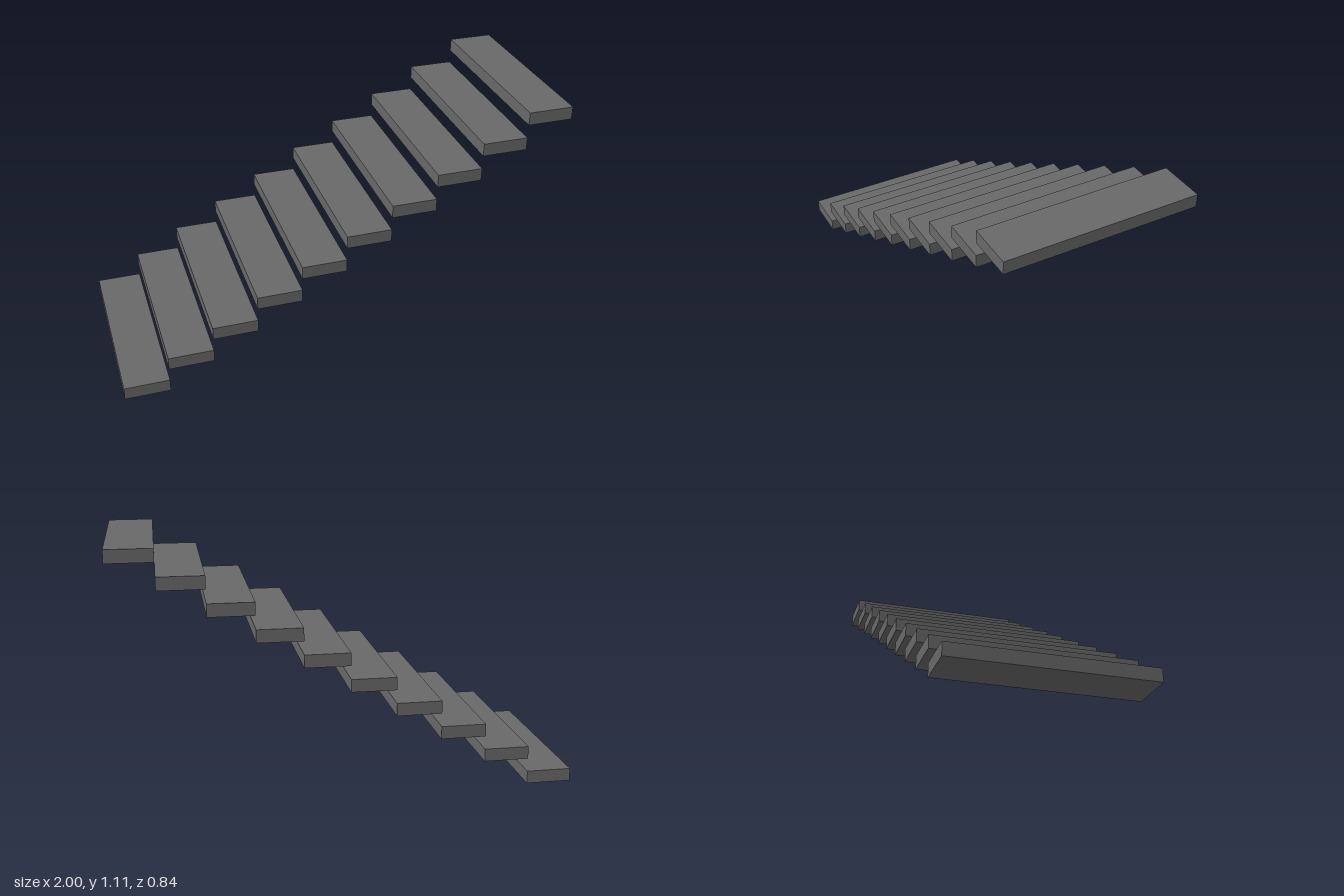
import * as THREE from 'three';

const STEPS = 10, RUN = 0.2, RISE = 0.1166, THICKNESS = 0.057, WIDTH = 0.84;

export function createModel() {
  const staircase = new THREE.Group();
  staircase.name = 'floatingStaircase';

  const stone = new THREE.MeshStandardMaterial({ color: 0x686868 });
  stone.name = 'dark grey stone';

  // Separate treads climbing towards +x, meeting edge to edge in plan
  const tread = new THREE.BoxGeometry(RUN, THICKNESS, WIDTH);
  for (let i = 0; i < STEPS; i++) {
    const step = new THREE.Mesh(tread, stone);
    step.name = `tread${i + 1}`;
    step.position.set((i - (STEPS - 1) / 2) * RUN, THICKNESS / 2 + i * RISE, 0);
    staircase.add(step);
  }
  return staircase;
}
